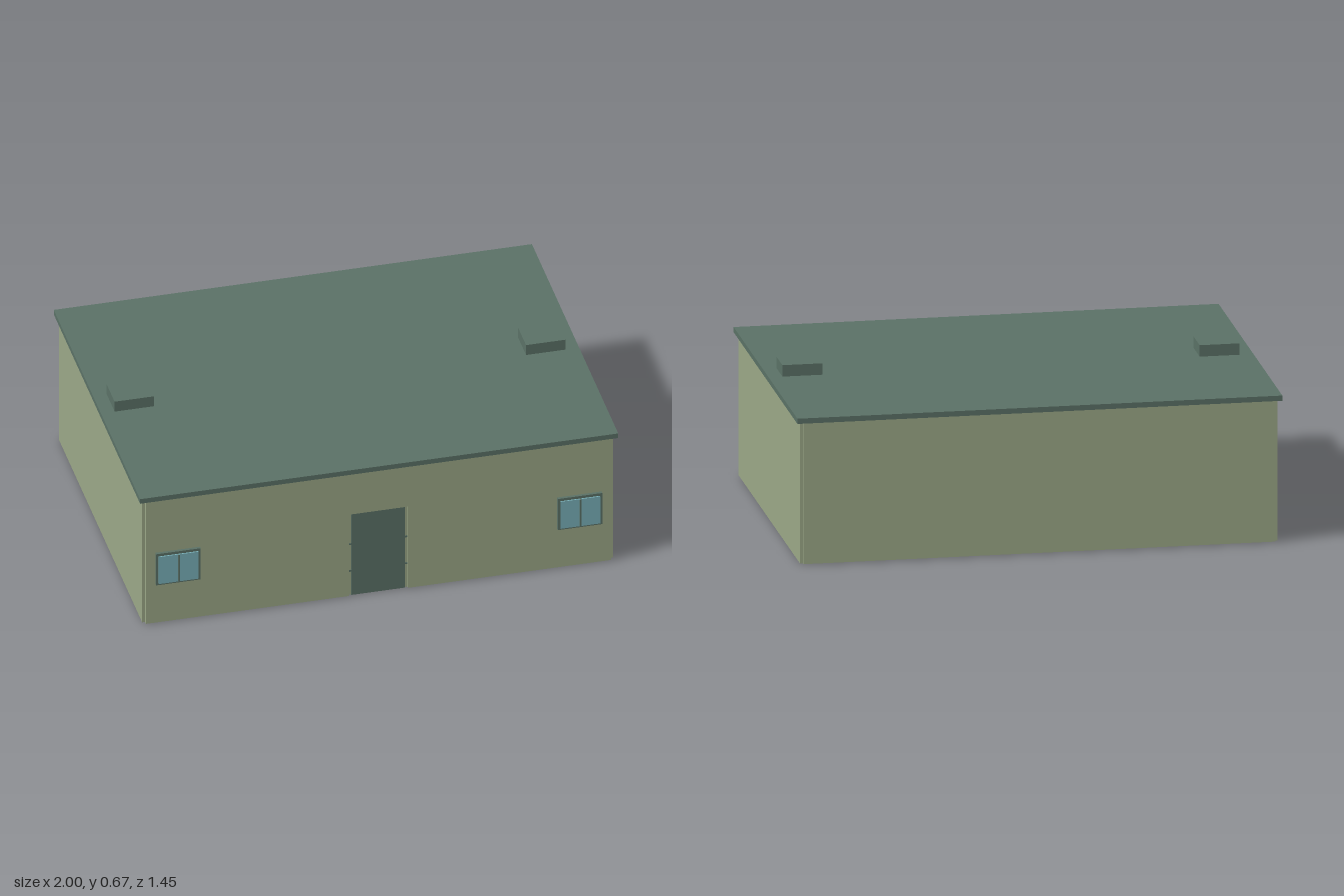
import * as THREE from 'three';

const mat = (name, color) => {
  const m = new THREE.MeshStandardMaterial({ color });
  m.name = name;
  return m;
};

export function createModel() {
  const house = new THREE.Group();
  house.name = 'house';
  const wall = mat('olive wall', 0x9ca988);
  const trim = mat('dark green trim', 0x5b7267);
  const glass = mat('window glass', 0x7ab2ba);
  const stone = mat('floor grey', 0x9d9b94);

  // Box given by its extents along each axis
  const box = (name, m, [x0, x1], [y0, y1], [z0, z1], parent = house) => {
    const mesh = new THREE.Mesh(new THREE.BoxGeometry(x1 - x0, y1 - y0, z1 - z0), m);
    mesh.position.set((x0 + x1) / 2, (y0 + y1) / 2, (z0 + z1) / 2);
    mesh.name = name;
    parent.add(mesh);
  };

  const height = [0.004, 0.6];

  // Floor slab and flat roof
  box('floor', stone, [-0.956, 0.956], [0, 0.012], [-0.686, 0.69]);
  box('roof', trim, [-1, 1], [0.598, 0.62], [-0.727, 0.715]);

  // Back wall and side walls, meeting in notched corners
  box('backWall', wall, [-0.973, 0.973], height, [-0.715, -0.686]);
  for (const s of [-1, 1]) {
    const span = (a, b) => (s > 0 ? [a, b] : [-b, -a]);
    box('sideWall', wall, span(0.956, 0.985), height, [-0.7, 0.69]);

    // Front wall panel beside the doorway
    box('frontWall', wall, span(0.124, 0.973), height, [0.68, 0.705]);

    // Door jamb with two hinges
    box('doorJamb', wall, span(0.112, 0.124), [0.004, 0.395], [0.682, 0.695]);
    for (const y of [0.12, 0.25]) {
      box('doorHinge', trim, span(0.112, 0.122), [y - 0.004, y + 0.004], [0.694, 0.698]);
    }

    // Window: frame, glass and a central bar
    const win = new THREE.Group();
    win.name = 'window';
    win.position.x = s * 0.84;
    house.add(win);
    box('windowFrame', trim, [-0.093, 0.093], [0.192, 0.343], [0.7, 0.717], win);
    box('windowPane', glass, [-0.083, 0.083], [0.2, 0.331], [0.716, 0.722], win);
    box('windowBar', trim, [-0.003, 0.003], [0.2, 0.331], [0.716, 0.727], win);

    // Roof vent
    box('roofVent', trim, span(0.778, 0.943), [0.615, 0.668], [-0.075, 0.062]);
  }

  // Door and the slightly recessed panel above it
  box('door', trim, [-0.112, 0.112], [0.002, 0.396], [0.682, 0.697]);
  box('doorLintel', wall, [-0.124, 0.124], [0.395, 0.6], [0.685, 0.7]);

  return house;
}
